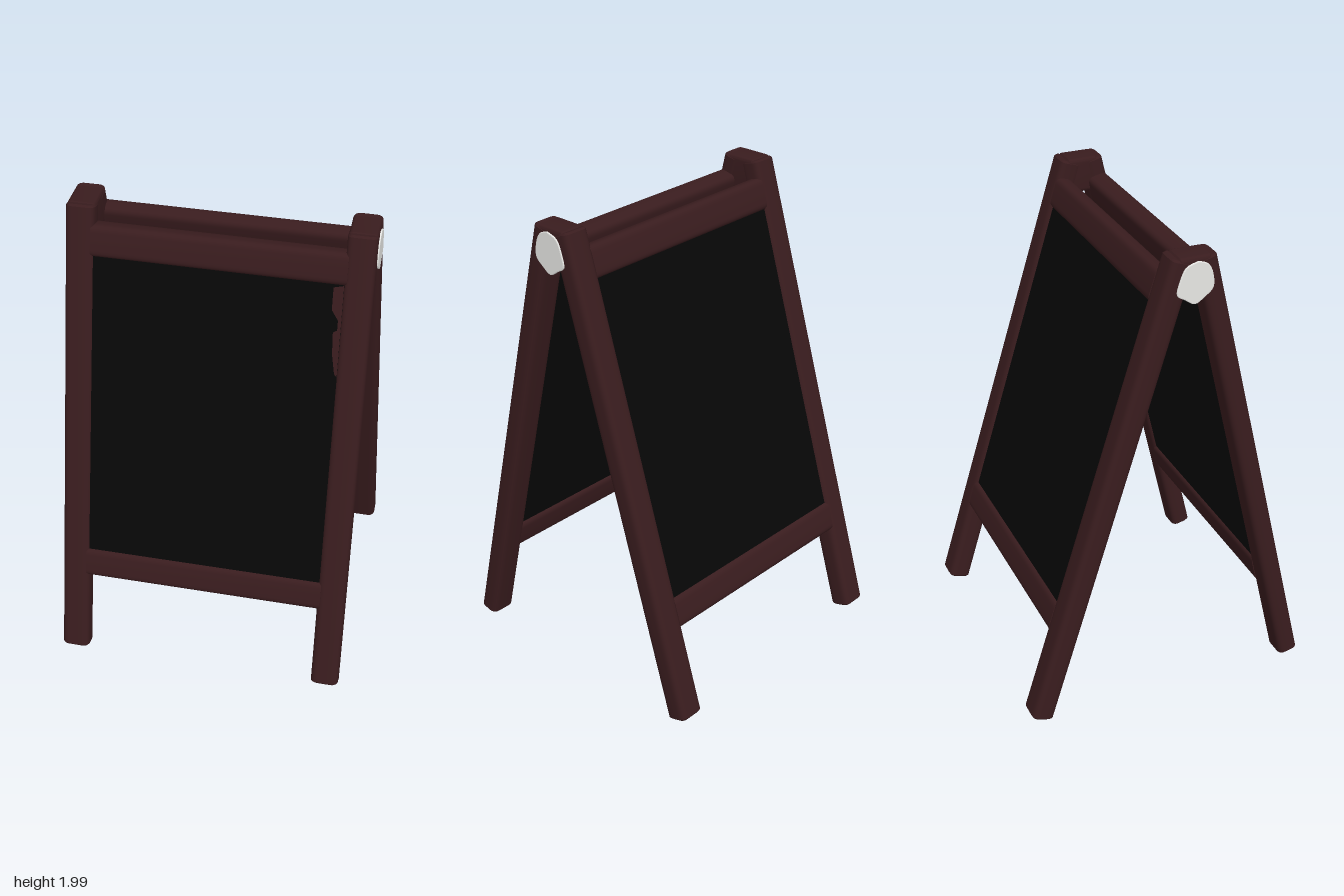
import * as THREE from 'three';
import { toCreasedNormals } from 'three/addons/utils/BufferGeometryUtils.js';

const material = (name, color) => {
  const m = new THREE.MeshStandardMaterial({ color });
  m.name = name;
  return m;
};

// Bar along z with a rounded w x h section and small bevels at its ends
function barGeometry(w, h, length, radius, bevel) {
  const x = w / 2, y = h / 2, r = radius;
  const shape = new THREE.Shape();
  shape.moveTo(r - x, -y).lineTo(x - r, -y);
  shape.quadraticCurveTo(x, -y, x, r - y).lineTo(x, y - r);
  shape.quadraticCurveTo(x, y, x - r, y).lineTo(r - x, y);
  shape.quadraticCurveTo(-x, y, -x, y - r).lineTo(-x, r - y);
  shape.quadraticCurveTo(-x, -y, r - x, -y);
  const bar = new THREE.ExtrudeGeometry(shape, {
    depth: length - 2 * bevel, curveSegments: 5, bevelEnabled: bevel > 0,
    bevelThickness: bevel, bevelSize: bevel, bevelOffset: -bevel, bevelSegments: 1,
  });
  bar.translate(0, 0, bevel - length / 2);
  return toCreasedNormals(bar, 0.6);
}

export function createModel() {
  const wood = material('dark reddish wood', 0x391c1e);
  const slate = material('blackboard', 0x070707);
  const metal = material('pale hinge metal', 0xf2f2ef);
  const model = new THREE.Group();
  model.name = 'sandwichBoard';

  const add = (parent, name, geometry, mat, x = 0, y = 0, z = 0) => {
    const mesh = new THREE.Mesh(geometry, mat);
    mesh.name = name;
    mesh.position.set(x, y, z);
    parent.add(mesh);
    return mesh;
  };

  // One leaning frame: two legs, two rails and a blackboard.
  // The origin is the centre of the feet; side is +1 for front, -1 for back.
  const addFrame = (name, side, y0, z0, slope, depth, railDepth) => {
    const angle = Math.atan(slope);
    const cos = Math.cos(angle);
    const along = (y) => (y - y0) / cos;
    const length = along(2) - depth / 2 * slope + 0.002;
    const railZ = side * (depth - railDepth) / 2; // flush with the outer face
    const frame = new THREE.Group();
    frame.name = name;
    frame.position.set(0, y0, z0);
    frame.rotation.x = -side * angle;

    const leg = barGeometry(0.117, depth, length, 0.03, 0.008).rotateX(-Math.PI / 2);
    for (const s of [-1, 1]) {
      add(frame, s > 0 ? 'leftLeg' : 'rightLeg', leg, wood, s * 0.552, length / 2);
    }
    const rail = barGeometry(railDepth, 0.13 / cos, 1.015, 0.03, 0).rotateY(Math.PI / 2);
    for (const [part, y] of [['topRail', 1.853], ['bottomRail', 0.445]]) {
      add(frame, part, rail, wood, 0, along(y), railZ);
    }
    // Board set slightly behind the frame faces, tucked into rails and legs
    const low = along(0.495), high = along(1.803);
    add(frame, 'blackboard', new THREE.BoxGeometry(1.0, high - low, railDepth - 0.026),
      slate, 0, (low + high) / 2, railZ);
    model.add(frame);
    return { frame, along, face: railDepth / 2 - 0.013 };
  };
  const front = addFrame('frontFrame', 1, 0.025, 0.58, 0.2335, 0.088, 0.088);
  addFrame('backFrame', -1, 0.02, -0.572, 0.305, 0.096, 0.072);

  // Bare wood showing at the upper left edge of the front board
  const patch = [[0.497, 1.79], [0.457, 1.78], [0.457, 1.69], [0.484, 1.65], [0.484, 1.61],
    [0.468, 1.6], [0.472, 1.51], [0.486, 1.43], [0.497, 1.42]];
  const patchShape = new THREE.Shape(patch.map(([x, y]) => new THREE.Vector2(x, front.along(y))));
  add(front.frame, 'bareWoodPatch', new THREE.ShapeGeometry(patchShape), wood, 0, 0, front.face + 0.003);

  // Rounded irregular hinge outline, as z and y
  const outline = [[0.08, 1.985], [0.03, 1.965], [0.005, 1.91], [-0.004, 1.86],
    [0.03, 1.835], [0.07, 1.812], [0.11, 1.835], [0.146, 1.87], [0.142, 1.93], [0.12, 1.97]];
  const curve = new THREE.SplineCurve(
    [...outline, outline[0]].map(([z, y]) => new THREE.Vector2(z - 0.075, y - 1.9)));
  const plate = new THREE.ExtrudeGeometry(new THREE.Shape(curve.getPoints(40)), {
    depth: 0.002, bevelEnabled: true, bevelThickness: 0.003, bevelSize: 0.004,
    bevelOffset: -0.004, bevelSegments: 2,
  });
  plate.translate(0, 0, -0.001);
  plate.rotateY(-Math.PI / 2); // shape x becomes z

  // Blocks joining the tops of the front and back legs, with a hinge outside
  const block = barGeometry(0.114, 0.15, 0.14, 0.018, 0.01);
  for (const s of [-1, 1]) {
    const label = s > 0 ? 'left' : 'right';
    add(model, label + 'TopBlock', block, wood, s * 0.552, 1.925, 0.073);
    add(model, label + 'Hinge', plate, metal, s * 0.612, 1.9, 0.075);
  }
  return model;
}
